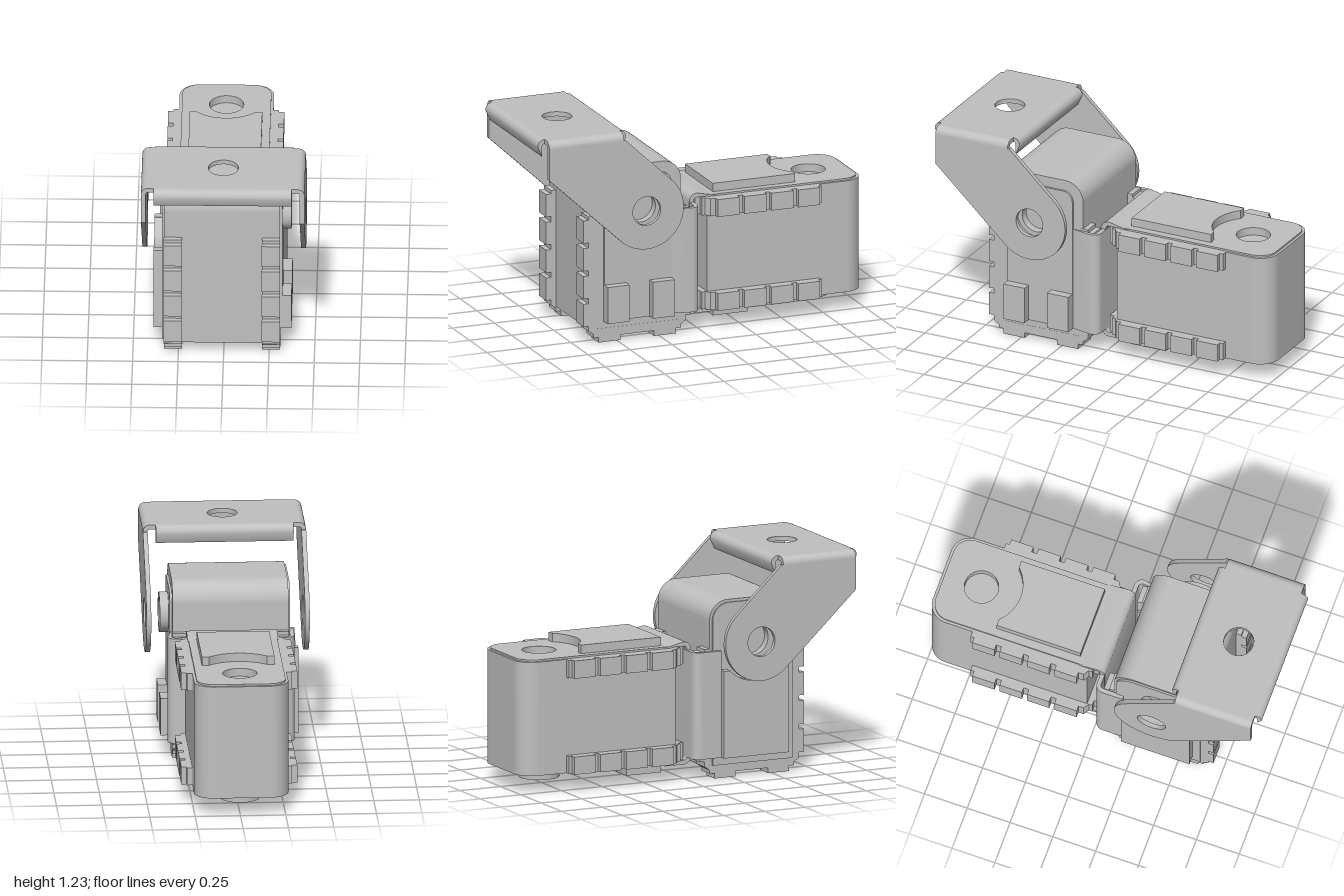
import * as THREE from 'three';
import { toCreasedNormals } from 'three/addons/utils/BufferGeometryUtils.js';

const grey = new THREE.MeshStandardMaterial({ color: 0xc0c0c0 });
grey.name = 'plain grey';

function part(name, geometry, parent) {
  const mesh = new THREE.Mesh(toCreasedNormals(geometry, 0.5), grey);
  mesh.name = name;
  parent.add(mesh);
  return mesh;
}

const extrude = (shape, depth) =>
  new THREE.ExtrudeGeometry(shape, { depth, bevelEnabled: false, curveSegments: 20 });

// Extrudes a (-z, y) outline along x from x0 to x1
const alongX = (shape, x0, x1) => extrude(shape, x1 - x0).rotateY(Math.PI / 2).translate(x0, 0, 0);

function box(name, x0, x1, y0, y1, z0, z1, parent) {
  const g = new THREE.BoxGeometry(x1 - x0, y1 - y0, z1 - z0);
  return part(name, g.translate((x0 + x1) / 2, (y0 + y1) / 2, (z0 + z1) / 2), parent);
}

function circleHole(x, y, r) {
  return new THREE.Path().absarc(x, y, r, 0, Math.PI * 2, true);
}

// Upright panel outline with two rounded top corners
function archedPanel(halfWidth, y0, y1, r) {
  const s = new THREE.Shape();
  s.moveTo(-halfWidth, y0);
  s.lineTo(halfWidth, y0);
  s.absarc(halfWidth - r, y1 - r, r, 0, Math.PI / 2, false);
  s.absarc(-halfWidth + r, y1 - r, r, Math.PI / 2, Math.PI, false);
  s.closePath();
  return s;
}

// Side outline of the ribbed corner rail: stepped feet and notched edges
function railOutline() {
  const half = [[0.1, 0.03], [0.1, 0], [0.23, 0], [0.23, 0.03], [0.26, 0.03], [0.26, 0.05],
    [0.29, 0.07], [0.29, 0.1], [0.32, 0.1]];
  for (const y of [0.245, 0.405, 0.565]) {
    half.push([0.32, y - 0.015], [0.29, y - 0.015], [0.29, y + 0.015], [0.32, y + 0.015]);
  }
  half.push([0.32, 0.71], [0.29, 0.71], [0.29, 0.73], [0.24, 0.73], [0.24, 0.08]);
  const mirrored = half.map(([x, y]) => [-x, y]).reverse();
  return new THREE.Shape([...half, ...mirrored].map(([x, y]) => new THREE.Vector2(x, y)));
}

const AXLE_Y = 0.77;

function servo(name) {
  const g = new THREE.Group();
  g.name = name;

  // Case with a round recess opposite the output horn
  part('case', alongX(archedPanel(0.26, 0.06, 1, 0.11), -0.295, 0.309), g);
  const upper = archedPanel(0.26, 0.06, 1, 0.11);
  upper.holes.push(circleHole(0, AXLE_Y, 0.095));
  part('recessLayer', alongX(upper, -0.33, -0.295), g);
  const cover = archedPanel(0.245, 0.075, 0.985, 0.1);
  cover.holes.push(circleHole(0, AXLE_Y, 0.095));
  part('backCover', alongX(cover, -0.34, -0.33), g);
  part('hornCover', alongX(archedPanel(0.2, 0.12, 0.94, 0.06), 0.309, 0.322), g);

  // Output horn ring
  const ring = new THREE.Shape().absarc(0, AXLE_Y, 0.112, 0, Math.PI * 2, false);
  ring.holes.push(circleHole(0, AXLE_Y, 0.085));
  part('outputHorn', alongX(ring, 0.32, 0.37), g);

  // Back pad with a concave end around the axle
  const pad = new THREE.Shape();
  const r = 0.228;
  const a = Math.acos(0.16 / r);
  pad.moveTo(-0.2, 0.12);
  pad.lineTo(0.2, 0.12);
  pad.lineTo(0.2, 0.61);
  pad.lineTo(0.16, 0.61);
  pad.absarc(0, AXLE_Y, r, -a, -Math.PI + a, true);
  pad.lineTo(-0.2, 0.61);
  pad.closePath();
  part('backPad', alongX(pad, -0.388, -0.335), g);

  // Connector blocks
  for (const s of [-1, 1]) {
    const z = s * 0.135;
    box('connectorBlock', 0.31, 0.372, 0.12, 0.33, z - 0.065, z + 0.065, g);
  }

  // Ribbed rails on both ends of the case
  for (const x of [-0.33, 0.21]) part('ribbedRail', alongX(railOutline(), x, x + 0.1), g);
  return g;
}

// U section bent from sheet, opening towards -y of its outline
function uBracket(width, depth, length) {
  const w = width / 2, t = 0.025, r = 0.045, ri = r - t, q = Math.PI / 2;
  const s = new THREE.Shape();
  s.moveTo(w, -depth);
  s.absarc(w - r, -r, r, 0, q, false);
  s.absarc(-w + r, -r, r, q, Math.PI, false);
  s.lineTo(-w, -depth);
  s.lineTo(-w + t, -depth);
  s.absarc(-w + r, -r, ri, Math.PI, q, true);
  s.absarc(w - r, -r, ri, q, 0, true);
  s.lineTo(w - t, -depth);
  s.closePath();
  return extrude(s, length);
}

// Quarter-round sheet bend with a straight lip below it
function bend(lip) {
  const s = new THREE.Shape();
  s.moveTo(0.04, -lip);
  s.absarc(0, 0, 0.04, 0, Math.PI / 2, false);
  s.absarc(0, 0, 0.014, Math.PI / 2, 0, true);
  s.lineTo(0.014, -lip);
  s.closePath();
  return s;
}

function swingBracket() {
  const g = new THREE.Group();
  g.name = 'swingBracket';

  // Top plate with a round hole
  const plate = new THREE.Shape([[-0.41, -0.96], [0.41, -0.96], [0.41, -0.515], [-0.41, -0.515]]
    .map(([x, y]) => new THREE.Vector2(x, y)));
  plate.holes.push(circleHole(0, -0.73, 0.083));
  part('topPlate', extrude(plate, 0.026).rotateX(-Math.PI / 2).translate(0, 1.204, 0), g);

  // Bends into the arms, and the front and rear lips
  for (const [name, lip, length, turn, x, z] of [
    ['sideBend', 0.001, 0.445, 0, 0.41, 0.515],
    ['sideBend', 0.001, 0.445, Math.PI, -0.41, 0.96],
    ['frontLip', 0.06, 0.76, -Math.PI / 2, 0.38, 0.96],
    ['rearLip', 0.06, 0.76, Math.PI / 2, -0.38, 0.515],
  ]) {
    const mesh = part(name, extrude(bend(lip), length), g);
    mesh.rotation.y = turn;
    mesh.position.set(x, 1.19, z);
  }

  // Arms narrowing to a round eye about the axle
  const r = 0.22;
  const start = new THREE.Vector2(-0.96, 1.01);
  const end = new THREE.Vector2(-0.505, 1.19);
  const eye = new THREE.Vector2(-0.38, AXLE_Y);
  // Angle at which a line from p touches the eye, on the given side
  const touch = (p, side) => {
    const d = p.clone().sub(eye);
    return Math.atan2(d.y, d.x) + side * Math.acos(r / d.length());
  };
  const arm = new THREE.Shape();
  arm.moveTo(-0.96, 1.19);
  arm.lineTo(start.x, start.y);
  arm.absarc(eye.x, eye.y, r, touch(start, 1), touch(end, -1) + Math.PI * 2, false);
  arm.lineTo(end.x, end.y);
  arm.closePath();
  arm.holes.push(circleHole(eye.x, eye.y, 0.083));
  for (const x of [-0.45, 0.424]) part('arm', alongX(arm, x, x + 0.026), g);
  return g;
}

export function createModel() {
  const model = new THREE.Group();
  model.name = 'servoJoint';

  const upright = servo('uprightServo');
  upright.position.z = 0.38;

  // The rear servo lies down with its horn underneath
  const v = (x, y, z) => new THREE.Vector3(x, y, z);
  const lying = servo('lyingServo');
  lying.quaternion.setFromRotationMatrix(
    new THREE.Matrix4().makeBasis(v(0, -1, 0), v(0, 0, -1), v(1, 0, 0)));
  lying.position.set(-0.01, 0.41, 0);
  model.add(upright, lying, swingBracket());

  // Two U brackets joined back to back
  part('uprightBracket', uBracket(0.7, 0.165, 0.6).rotateX(-Math.PI / 2), model)
    .position.set(-0.01, 0.12, 0.014);
  const flat = uBracket(0.69, 0.16, 0.5).applyMatrix4(
    new THREE.Matrix4().makeBasis(v(0, 1, 0), v(0, 0, 1), v(1, 0, 0)));
  part('lyingBracket', flat, model).position.set(-0.26, 0.425, 0.041);
  return model;
}
